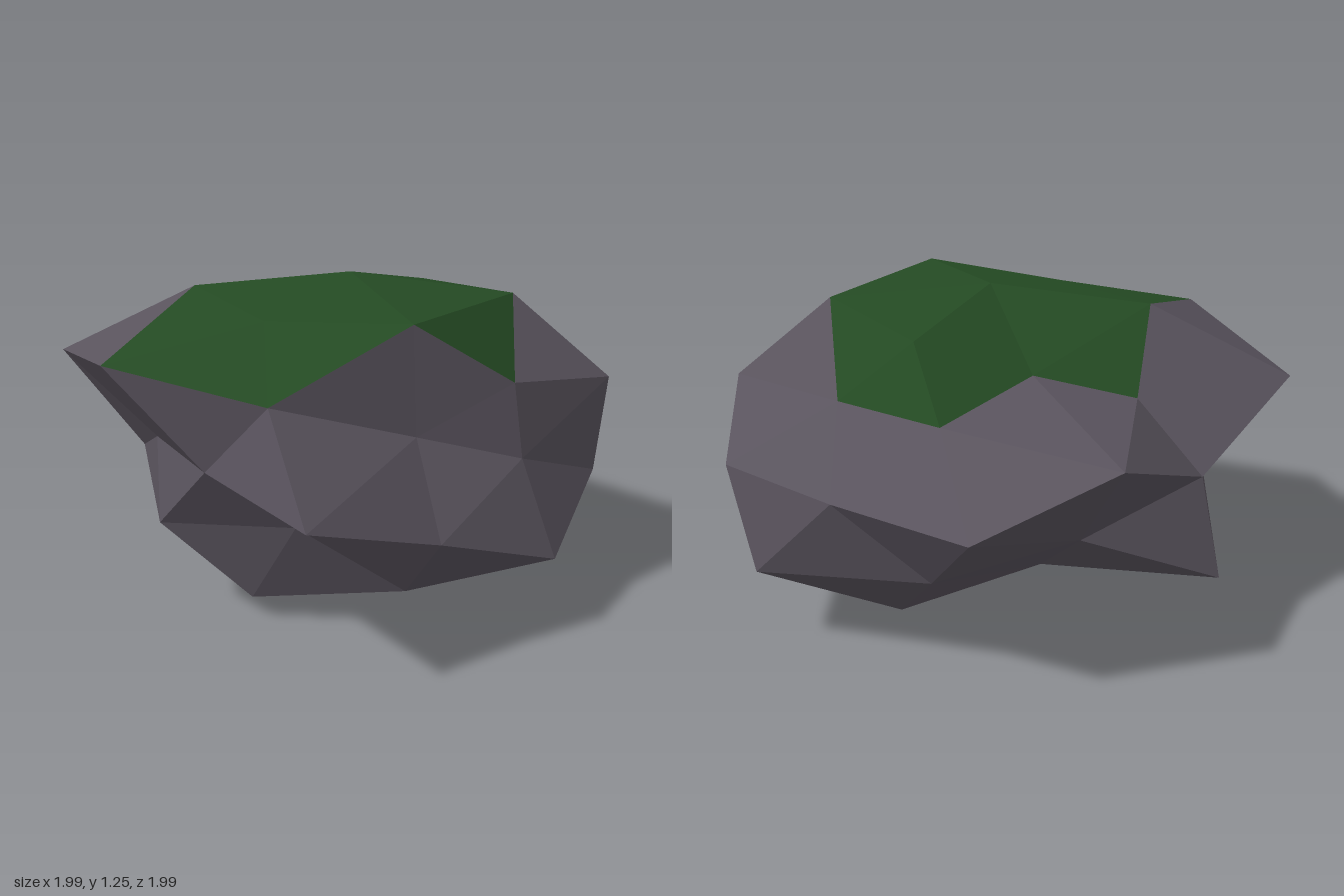
import * as THREE from 'three';

// Stretch of each corner of a once-divided icosahedron, grouped by its direction.
// Order inside a group: (+x +z), (-x +z), (+x -z), (-x -z).
const STRETCH = {
  shoulderTop: [1.06, 1.095, 0.675, 1.045],
  shoulderBottom: [1.12, 1.03, 0.82, 0.82],
  endTop: [1.055, 0.72, 1.175, 1.225],
  endBottom: [1.015, 0.97, 0.85, 0.89],
  flankTop: [0.78, 1.05, 0.815, 1.19],
  flankBottom: [1.2, 0.75, 0.97, 0.96],
  waist: [1.065, 1.2, 1.13, 0.78],
  // Order: +x, -x
  crownTop: [0.913, 0.95],
  crownBottom: [1.12, 1.13],
  side: [0.96, 0.83],
  // Order: +z, -z
  browTop: [0.888, 0.776],
  browBottom: [1.125, 1.21],
  face: [0.8, 0.94],
  // Order: top, bottom
  pole: [0.967, 1.108],
};

function stretchOf(d) {
  const zero = (v) => Math.abs(v) < 0.01;
  const half = d.y > 0 ? 'Top' : 'Bottom';
  const ix = d.x > 0 ? 0 : 1;
  const iz = d.z > 0 ? 0 : 1;
  if (zero(d.x) && zero(d.z)) return STRETCH.pole[d.y > 0 ? 0 : 1];
  if (zero(d.x)) return STRETCH[zero(d.y) ? 'face' : 'brow' + half][iz];
  if (zero(d.z)) return STRETCH[zero(d.y) ? 'side' : 'crown' + half][ix];
  const corner = ix + 2 * iz;
  if (zero(d.y)) return STRETCH.waist[corner];
  const h = Math.abs(d.y);
  const band = h > 0.7 ? 'shoulder' : h > 0.4 ? 'flank' : 'end';
  return STRETCH[band + half][corner];
}

function facetMesh(name, points, material) {
  const geometry = new THREE.BufferGeometry().setFromPoints(points);
  geometry.computeVertexNormals();
  const mesh = new THREE.Mesh(geometry, material);
  mesh.name = name;
  return mesh;
}

export function createModel() {
  const stone = new THREE.MeshStandardMaterial({ color: 0x59535d });
  stone.name = 'stone grey';
  const moss = new THREE.MeshStandardMaterial({ color: 0x244a23 });
  moss.name = 'moss green';

  const ball = new THREE.IcosahedronGeometry(1, 1).getAttribute('position');
  const centre = new THREE.Vector3(0.02, 0.665, 0.04);
  const squash = new THREE.Vector3(1, 0.6, 1);
  const stonePoints = [];
  const mossPoints = [];

  // Push each corner in or out, squash the height; the uppermost facets are moss
  for (let i = 0; i < ball.count; i += 3) {
    const corners = [0, 1, 2].map((k) => new THREE.Vector3().fromBufferAttribute(ball, i + k));
    const height = (corners[0].y + corners[1].y + corners[2].y) / 3;
    const target = height > 0.58 ? mossPoints : stonePoints;
    for (const d of corners) {
      target.push(d.clone().multiplyScalar(stretchOf(d)).multiply(squash).add(centre));
    }
  }

  const model = new THREE.Group();
  model.name = 'mossyRock';
  model.add(facetMesh('rockBody', stonePoints, stone));
  model.add(facetMesh('mossCap', mossPoints, moss));
  return model;
}
